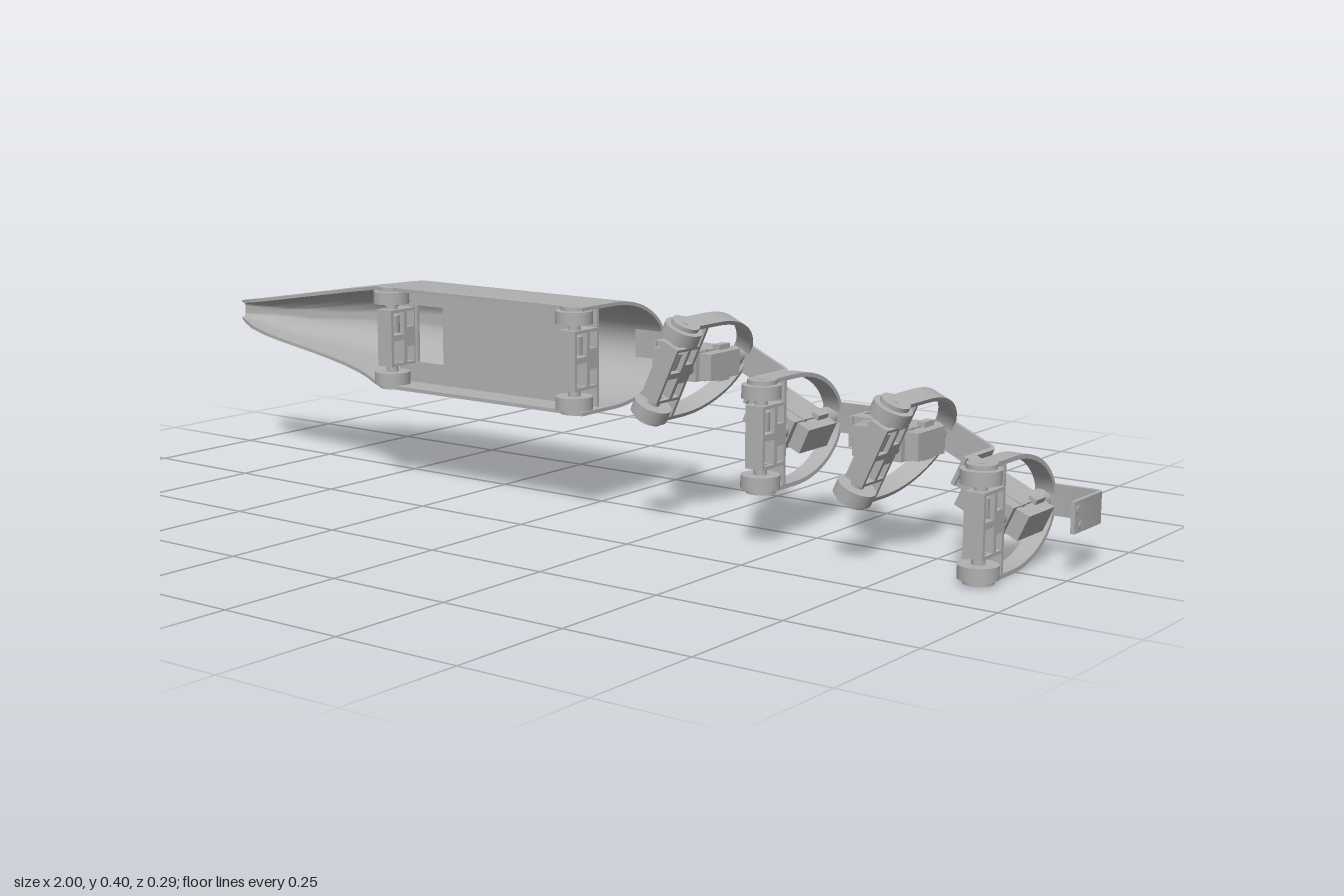
import * as THREE from 'three';
import { toCreasedNormals } from 'three/addons/utils/BufferGeometryUtils.js';

const grey = new THREE.MeshStandardMaterial({ color: 0xb0b0b0 });
grey.name = 'plain grey';

function add(parent, name, geo, x = 0, y = 0, z = 0) {
  const m = new THREE.Mesh(geo, grey);
  m.name = name;
  m.position.set(x, y, z);
  parent.add(m);
  return m;
}

const box = (w, h, d) => new THREE.BoxGeometry(w, h, d);
const disc = (r, h) => new THREE.CylinderGeometry(r, r, h, 32);

// Open arch in (y, z): straight legs from zf, elliptical back reaching zb
function arch(h, zb, zf, legEnd, n = 28) {
  const pts = [[h, zf]];
  for (let i = 0; i <= n; i++) {
    const a = Math.PI / 2 - (Math.PI * i) / n;
    pts.push([h * Math.sin(a), legEnd - (legEnd - zb) * Math.cos(a)]);
  }
  pts.push([-h, zf]);
  return pts;
}

// Extrude a (-z, y) shape along x, centred
function extrudeX(shape, width) {
  const g = new THREE.ExtrudeGeometry(shape, { depth: width, bevelEnabled: false, curveSegments: 8 });
  g.translate(0, 0, -width / 2);
  g.rotateY(Math.PI / 2);
  return toCreasedNormals(g, 0.5);
}

function rectPath(x0, x1, y0, y1) {
  const p = new THREE.Path();
  p.moveTo(x0, y0).lineTo(x0, y1).lineTo(x1, y1).lineTo(x1, y0).closePath();
  return p;
}

// Long open shell with tapering nose: x, half height, back z, front z
function shellGeometry() {
  const stations = [
    [-1.0, 0.02, -0.002, 0.012], [-0.97, 0.026, -0.012, 0.03], [-0.93, 0.032, -0.02, 0.05],
    [-0.88, 0.04, -0.028, 0.062], [-0.83, 0.048, -0.04, 0.066], [-0.78, 0.056, -0.06, 0.066],
    [-0.73, 0.064, -0.086, 0.066], [-0.68, 0.072, -0.11, 0.068], [-0.63, 0.08, -0.128, 0.073],
    [-0.58, 0.088, -0.14, 0.083], [-0.54, 0.094, -0.144, 0.097], [-0.51, 0.099, -0.146, 0.111],
    [-0.475, 0.104, -0.146, 0.126], [0.05, 0.104, -0.146, 0.126],
  ];
  const pos = [], idx = [];
  let half = 0;
  for (const [x, h, zb, zf] of stations) {
    const t = Math.min(0.007, (zf - zb) * 0.25);
    const leg = zb + 0.61 * (zf - zb);
    const outer = arch(h, zb, zf, leg);
    const inner = arch(h - t, zb + t, zf, leg).reverse();
    half = outer.length;
    for (const [y, z] of [...outer, ...inner]) pos.push(x, y, z);
  }
  const n = half * 2, last = (stations.length - 1) * n;
  for (let r = 0; r < stations.length - 1; r++) {
    for (let i = 0; i < n; i++) {
      const a = r * n + i, b = r * n + ((i + 1) % n), c = b + n, d = a + n;
      idx.push(a, d, c, a, c, b);
    }
  }
  // Rims at both ends
  for (let i = 0; i < half - 1; i++) {
    const o = i, p = i + 1, q = n - 2 - i, s = n - 1 - i;
    idx.push(o, p, q, o, q, s);
    idx.push(last + o, last + q, last + p, last + o, last + s, last + q);
  }
  const g = new THREE.BufferGeometry();
  g.setAttribute('position', new THREE.Float32BufferAttribute(pos, 3));
  g.setIndex(idx);
  return toCreasedNormals(g, 0.6);
}

// Slotted carrier with a wheel at each end
function wheelCarrier(parent, x) {
  const g = new THREE.Group();
  g.name = 'wheelCarrier';
  g.position.x = x;
  parent.add(g);
  const s = new THREE.Shape();
  s.moveTo(-0.132, -0.058).lineTo(-0.058, -0.058).lineTo(-0.058, 0.058).lineTo(-0.132, 0.058).closePath();
  s.holes.push(rectPath(-0.125, -0.094, -0.052, -0.006), rectPath(-0.125, -0.094, 0.006, 0.052),
    rectPath(-0.085, -0.064, -0.052, -0.02), rectPath(-0.085, -0.064, 0.02, 0.052));
  add(g, 'carrierFrame', extrudeX(s, 0.038));
  add(g, 'carrierSpindle', disc(0.016, 0.035), 0, 0.028, 0.11);
  for (const side of [-1, 1]) {
    add(g, 'wheel', disc(0.036, 0.025), 0, side * 0.0825, 0.11);
    add(g, 'axle', disc(0.012, 0.05), 0, side * 0.075, 0.11);
    add(g, 'axlePad', disc(0.027, 0.008), 0, side * 0.1, 0.108);
    add(g, 'axlePin', disc(0.006, 0.01), 0, side * 0.1, 0.11);
  }
}

// Curved rib with a chord bar across it
function rib(parent) {
  const outer = arch(0.104, -0.141, 0.115, 0.02);
  const inner = arch(0.096, -0.133, 0.115, 0.02).reverse();
  const s = new THREE.Shape([...outer, ...inner].map(([y, z]) => new THREE.Vector2(-z, y)));
  add(parent, 'ribHoop', extrudeX(s, 0.036));
  add(parent, 'ribChord', box(0.036, 0.198, 0.007), 0, 0, 0.058);
}

// Bent strap that carries the next joint
function bracket(parent) {
  const s = new THREE.Shape();
  s.moveTo(-0.02, 0.14).lineTo(-0.02, 0.132).lineTo(0.092, 0.132);
  s.quadraticCurveTo(0.102, 0.132, 0.102, 0.12);
  s.lineTo(0.102, 0.024).lineTo(0.11, 0.024).lineTo(0.11, 0.122);
  s.quadraticCurveTo(0.11, 0.14, 0.092, 0.14).closePath();
  const g = new THREE.ExtrudeGeometry(s, { depth: 0.057, bevelEnabled: false, curveSegments: 8 });
  g.translate(0, 0, -0.0285);
  g.rotateX(-Math.PI / 2);
  add(parent, 'bracket', toCreasedNormals(g, 0.5));
  for (const [y, z] of [[0.013, -0.037], [-0.016, -0.047]]) {
    add(parent, 'bracketScrew', disc(0.008, 0.004), 0.11, y, z).rotation.z = Math.PI / 2;
  }
}

// Motor hung from the bracket, turning the next rib about z
function motor(parent, pivot) {
  add(parent, 'motorMount', box(0.06, 0.057, 0.032), 0.132, 0, -0.045);
  add(parent, 'motorCase', box(0.1, 0.056, 0.112), 0.2, 0, -0.014);
  add(parent, 'motorEnd', box(0.03, 0.05, 0.095), 0.262, 0, -0.018);
  add(parent, 'motorBand', box(0.104, 0.06, 0.012), 0.2, 0, 0.008);
  add(parent, 'motorTab', box(0.016, 0.07, 0.034), 0.25, 0, -0.042);
  add(parent, 'motorHub', disc(0.021, 0.046), pivot, 0, -0.09).rotation.x = Math.PI / 2;
  add(parent, 'motorHubCap', disc(0.012, 0.024), pivot, 0, -0.122).rotation.x = Math.PI / 2;
  add(parent, 'motorAxle', disc(0.016, 0.022), pivot, 0, 0.05).rotation.x = Math.PI / 2;
}

export function createModel() {
  const model = new THREE.Group();
  model.name = 'jointedRobot';
  const pitch = 0.232, bend = -0.43;

  // Head body: shell, floor plate with a window, two wheel carriers
  const body = new THREE.Group();
  body.name = 'body';
  body.position.y = 0.305;
  model.add(body);
  add(body, 'shell', shellGeometry());
  const floor = new THREE.Shape();
  floor.moveTo(-0.48, -0.099).lineTo(0.035, -0.099).lineTo(0.035, 0.099).lineTo(-0.48, 0.099).closePath();
  floor.holes.push(rectPath(-0.43, -0.36, -0.055, 0.062));
  add(body, 'floorPlate', new THREE.ExtrudeGeometry(floor, { depth: 0.007, bevelEnabled: false }), 0, 0, 0.054);
  wheelCarrier(body, -0.455);
  wheelCarrier(body, 0.018);
  const joint = new THREE.Group();
  joint.name = 'bodyJoint';
  joint.position.x = 0.003;
  body.add(joint);
  bracket(joint);
  motor(joint, pitch);

  // Tail: ribs alternately bent and straight
  let x = 0.003 + pitch, y = 0.305;
  for (let i = 0; i < 4; i++) {
    const seg = new THREE.Group();
    seg.name = 'tailSegment' + (i + 1);
    const angle = i % 2 === 0 ? bend : 0;
    seg.position.set(x, y, 0);
    seg.rotation.z = angle;
    model.add(seg);
    rib(seg);
    wheelCarrier(seg, 0);
    bracket(seg);
    if (i < 3) motor(seg, pitch);
    x += pitch * Math.cos(angle);
    y += pitch * Math.sin(angle);
  }
  return model;
}
